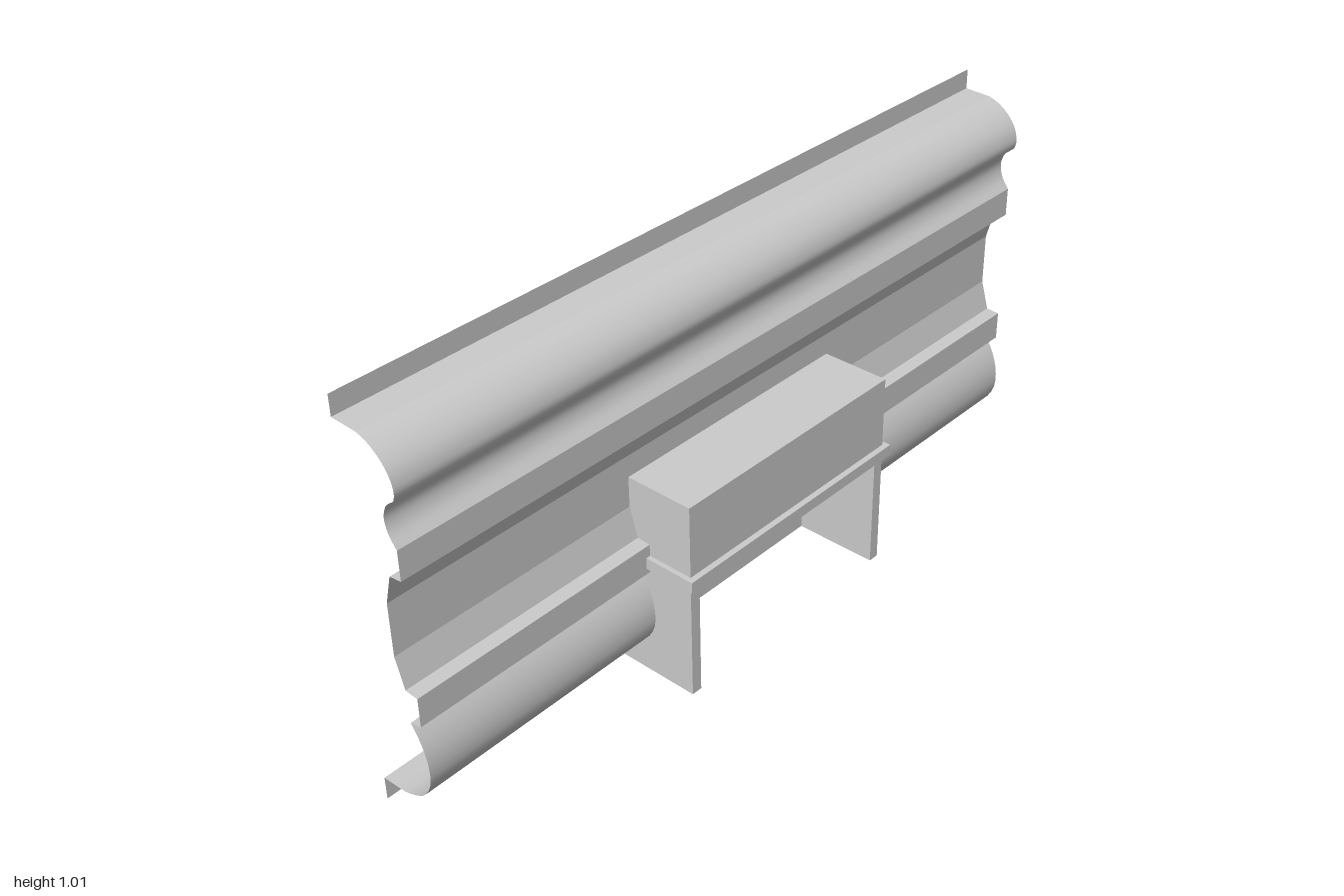
import * as THREE from 'three';

const grey = new THREE.MeshStandardMaterial({ color: 0xcccccc });
const sheetGrey = new THREE.MeshStandardMaterial({ color: 0xcccccc, side: THREE.DoubleSide });

// Box given by its minimum and maximum corners
function box(parent, name, [x0, y0, z0], [x1, y1, z1]) {
  const mesh = new THREE.Mesh(new THREE.BoxGeometry(x1 - x0, y1 - y0, z1 - z0), grey);
  mesh.name = name;
  mesh.position.set((x0 + x1) / 2, (y0 + y1) / 2, (z0 + z1) / 2);
  parent.add(mesh);
}

// Open strip: an (x, y) profile drawn out along z
function strip(parent, name, points, z0, z1) {
  const pos = [], index = [];
  points.forEach(([x, y], i) => {
    pos.push(x, y, z0, x, y, z1);
    if (i) {
      const a = 2 * i - 2;
      index.push(a, a + 1, a + 2, a + 1, a + 3, a + 2);
    }
  });
  const geo = new THREE.BufferGeometry();
  geo.setAttribute('position', new THREE.Float32BufferAttribute(pos, 3));
  geo.setIndex(index);
  geo.computeVertexNormals();
  const mesh = new THREE.Mesh(geo, sheetGrey);
  mesh.name = name;
  parent.add(mesh);
}

// Smooth run of points through a few guides
function curve(...guides) {
  const spline = new THREE.SplineCurve(guides.map(([x, y]) => new THREE.Vector2(x, y)));
  return spline.getPoints(16).map((p) => [p.x, p.y]);
}

export function createModel() {
  const model = new THREE.Group();

  // Moulded wall: every run keeps its own sharp ends
  const wall = new THREE.Group();
  wall.name = 'mouldedWall';
  model.add(wall);
  const upper = [
    [[-0.13, 1.01], [-0.13, 0.96]],
    [[-0.13, 0.96], [-0.06, 0.958]],
    curve([-0.06, 0.958], [-0.03, 0.947], [0, 0.925], [0.021, 0.897], [0.03, 0.865], [0.025, 0.842]),
    curve([0.025, 0.842], [0.001, 0.822], [-0.01, 0.79], [-0.003, 0.757], [0.017, 0.728]),
    [[0.017, 0.728], [0.017, 0.655]],
    [[0.017, 0.655], [-0.017, 0.65]],
    [[-0.017, 0.65], [-0.037, 0.575]],
    [[-0.037, 0.575], [-0.037, 0.515]],
  ];
  const lower = [
    [[-0.037, 0.515], [-0.037, 0.442]],
    [[-0.037, 0.442], [-0.015, 0.368]],
    [[-0.015, 0.368], [0.02, 0.366]],
    [[0.02, 0.366], [0.02, 0.292]],
    [[0.02, 0.292], [-0.012, 0.285]],
    curve([-0.012, 0.285], [0.012, 0.245], [0.028, 0.195], [0.027, 0.14], [0, 0.093], [-0.05, 0.067], [-0.09, 0.062]),
    [[-0.09, 0.062], [-0.13, 0.06]],
    [[-0.13, 0.06], [-0.13, 0]],
  ];
  upper.forEach((run) => strip(wall, 'upperMoulding', run, -1, 1));
  // The lower mouldings stop at the surround
  for (const [z0, z1] of [[-1, -0.335], [0.335, 1]]) {
    lower.forEach((run) => strip(wall, 'lowerMoulding', run, z0, z1));
  }

  // Surround: hood, ledge and side jambs
  box(model, 'hood', [-0.14, 0.33, -0.34], [0.14, 0.52, 0.34]);
  box(model, 'ledge', [-0.155, 0.307, -0.352], [0.155, 0.336, 0.352]);
  box(model, 'ceilingPanel', [-0.135, 0.296, -0.31], [0.135, 0.307, 0.31]);
  box(model, 'rightJamb', [-0.14, 0.004, -0.34], [0.14, 0.307, -0.312]);
  box(model, 'leftJamb', [-0.14, 0.004, 0.312], [0.14, 0.307, 0.34]);

  // Screen filling the opening
  const screen = new THREE.Group();
  screen.name = 'screen';
  model.add(screen);
  box(screen, 'bottomRail', [-0.135, 0.004, -0.312], [-0.08, 0.035, 0.312]);
  box(screen, 'lowerFrame', [-0.13, 0.035, -0.312], [-0.085, 0.046, 0.312]);
  box(screen, 'upperFrame', [-0.13, 0.126, -0.312], [-0.085, 0.137, 0.312]);
  box(screen, 'panelBack', [-0.112, 0.046, -0.312], [-0.104, 0.126, 0.312]);
  for (let i = 0; i <= 8; i++) {
    const z = -0.302 + i * 0.0755;
    box(screen, 'divider', [-0.128, 0.046, z - 0.007], [-0.087, 0.126, z + 0.007]);
  }
  // Horizontal boards, each stepped a little further back
  [0.137, 0.172, 0.207, 0.236, 0.266].forEach((y, i, all) => {
    if (i === all.length - 1) return;
    box(screen, 'board', [-0.13 + i * 0.002, y, -0.312], [-0.09 - i * 0.002, all[i + 1], 0.312]);
  });
  box(screen, 'topBoard', [-0.122, 0.266, -0.312], [-0.108, 0.297, 0.312]);
  // Stack of thin slats under the ceiling
  for (let i = 0; i < 8; i++) {
    const y = 0.267 + i * 0.0037;
    box(screen, 'slat', [-0.108, y, -0.31], [-0.085, y + 0.0024, 0.31]);
  }

  return model;
}
